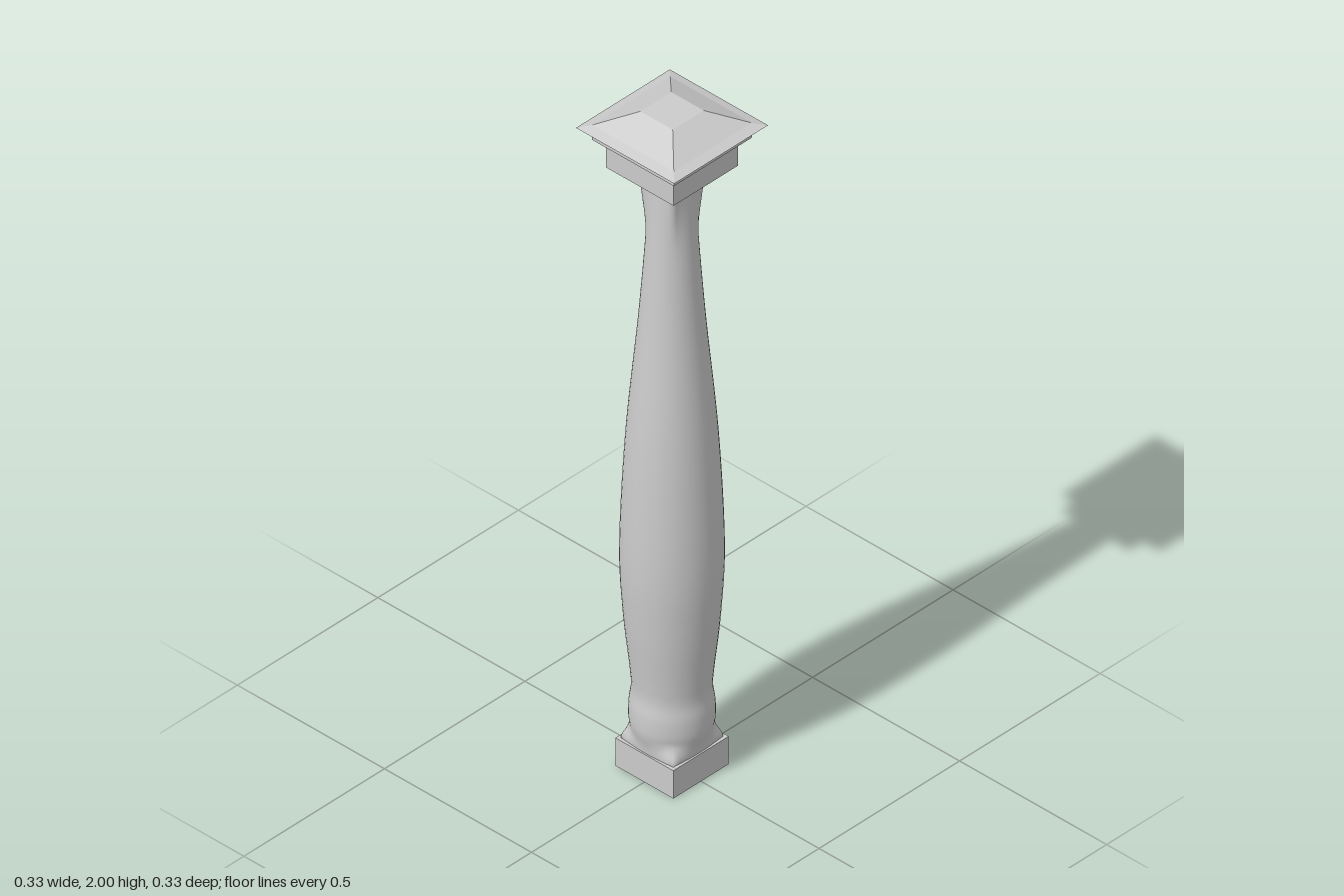
import * as THREE from 'three';
import { mergeVertices } from 'three/addons/utils/BufferGeometryUtils.js';

const smooth = new THREE.MeshStandardMaterial({ color: 0xcccccc, side: THREE.DoubleSide });
const flat = new THREE.MeshStandardMaterial({ color: 0xcccccc, flatShading: true });
const v2 = (pts) => pts.map(([x, y]) => new THREE.Vector2(x, y));

// Square block given by half-width, bottom and top
function block(name, half, y0, y1) {
  const mesh = new THREE.Mesh(new THREE.BoxGeometry(2 * half, y1 - y0, 2 * half), flat);
  mesh.position.y = (y0 + y1) / 2;
  mesh.name = name;
  return mesh;
}

// Turned shaft: round along its length, easing into a square at both ends
function shaft(y0, y1) {
  const profile = new THREE.SplineCurve(v2([
    [0.094, y0], [0.098, 0.11], [0.107, 0.15], [0.107, 0.2], [0.101, 0.25], [0.105, 0.31],
    [0.121, 0.47], [0.13, 0.68], [0.115, 1.02], [0.083, 1.38], [0.063, 1.66], [0.055, y1],
  ])).getPoints(66);
  let geo = new THREE.LatheGeometry(profile, 48);
  const p = geo.attributes.position;
  for (let i = 0; i < p.count; i++) {
    const x = p.getX(i), y = p.getY(i), z = p.getZ(i);
    const top = THREE.MathUtils.smoothstep(y, 1.62, y1);
    const bottom = 1 - THREE.MathUtils.smoothstep(y, y0, 0.14);
    const toSquare = Math.hypot(x, z) / Math.max(Math.abs(x), Math.abs(z));
    const k = THREE.MathUtils.lerp(1, toSquare, Math.max(top, 0.8 * bottom));
    p.setXYZ(i, x * k, y, z * k);
  }
  geo.deleteAttribute('normal');
  geo.deleteAttribute('uv');
  geo = mergeVertices(geo, 1e-5);
  geo.computeVertexNormals();
  const mesh = new THREE.Mesh(geo, smooth);
  mesh.name = 'shaft';
  return mesh;
}

// Four-sided hipped roof with a flared eave and a flat top
function roof() {
  const profile = [[0, 1.943], [0.158, 1.943], [0.167, 1.952], [0.139, 1.96], [0.055, 2], [0, 2]];
  const pts = v2(profile.map(([half, y]) => [half * Math.SQRT2, y]));
  const geo = new THREE.LatheGeometry(pts, 4, Math.PI / 4).toNonIndexed();
  geo.computeVertexNormals();
  const mesh = new THREE.Mesh(geo, flat);
  mesh.name = 'capRoof';
  return mesh;
}

export function createModel() {
  const model = new THREE.Group();
  model.name = 'column';
  const capital = new THREE.Group();
  capital.name = 'capital';
  capital.add(block('capBlock', 0.115, 1.83, 1.915), block('capMoulding', 0.139, 1.915, 1.943), roof());
  model.add(block('base', 0.0985, 0, 0.085), shaft(0.085, 1.83), capital);
  return model;
}
